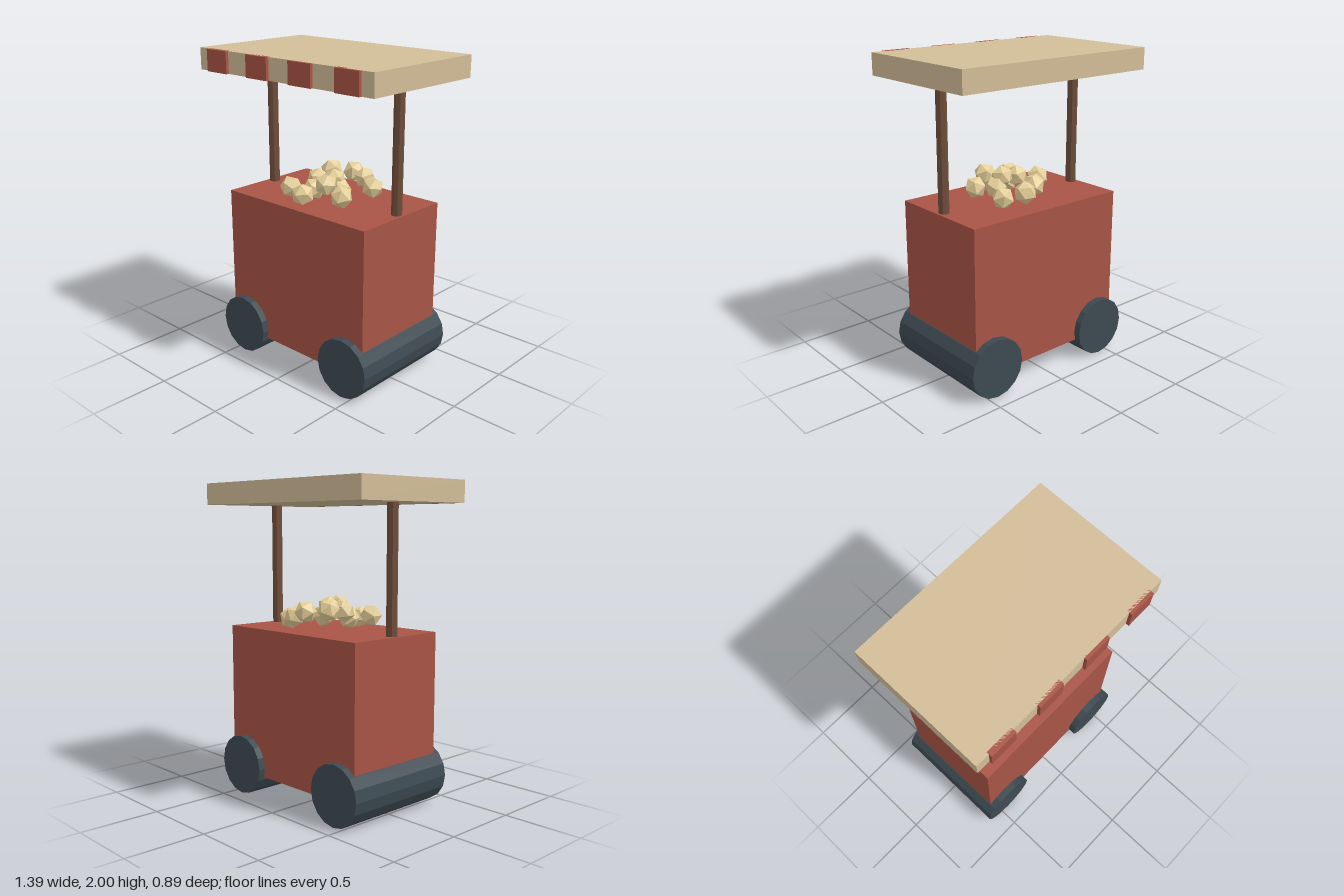
import * as THREE from 'three';

const material = (color) => new THREE.MeshStandardMaterial({ color, flatShading: true });
const red = material(0xa85446);
const cream = material(0xd2bd98);
const wood = material(0x6f4d3a);
const rubber = material(0x3d4a52);
const corn = material(0xe6d09a);

const CENTRE_Z = -0.01;

export function createModel() {
  const cart = new THREE.Group();
  cart.name = 'snackCart';

  const add = (name, geometry, mat, x, y, z) => {
    const mesh = new THREE.Mesh(geometry, mat);
    mesh.name = name;
    mesh.position.set(x, y, z);
    cart.add(mesh);
    return mesh;
  };

  // Cart body and flat canopy
  add('body', new THREE.BoxGeometry(1.13, 0.955, 0.695), red, 0, 0.6125, CENTRE_Z);
  add('canopy', new THREE.BoxGeometry(1.39, 0.135, 0.87), cream, 0, 1.9325, CENTRE_Z);

  // Stripes along the front edge of the canopy
  const stripe = new THREE.BoxGeometry(0.174, 0.135, 0.035);
  for (let i = 0; i < 4; i++) {
    add('canopyStripe', stripe, red, (i - 1.5) * 0.348, 1.9325, 0.4275);
  }

  // Posts and full-width wheel rollers, mirrored left and right
  const post = new THREE.CylinderGeometry(0.033, 0.033, 0.795, 8);
  const wheel = new THREE.CylinderGeometry(0.19, 0.19, 0.785, 16).rotateX(Math.PI / 2);
  for (const [side, s] of [['left', 1], ['right', -1]]) {
    add(side + 'Post', post, wood, s * 0.52, 1.4775, CENTRE_Z);
    add(side + 'Wheels', wheel, rubber, s * 0.435, 0.19, CENTRE_Z);
  }

  // Heap of faceted popcorn pieces
  const kernel = new THREE.IcosahedronGeometry(0.072, 0);
  const heap = [
    [-0.15, 1.17, 0.2], [-0.03, 1.15, 0.22], [0.19, 1.155, 0.11],
    [0.2, 1.155, -0.17], [0.08, 1.18, -0.235], [-0.11, 1.22, -0.13],
    [0, 1.21, -0.22], [0.09, 1.22, 0.14], [-0.08, 1.2, 0.03],
    [0.05, 1.22, 0.02], [0.1, 1.16, 0.02], [-0.05, 1.155, 0.1],
  ];
  heap.forEach(([x, y, z], i) => {
    add('popcorn', kernel, corn, x, y, z).rotation.set(i * 1.3, i * 2.1, i * 0.7);
  });

  return cart;
}
